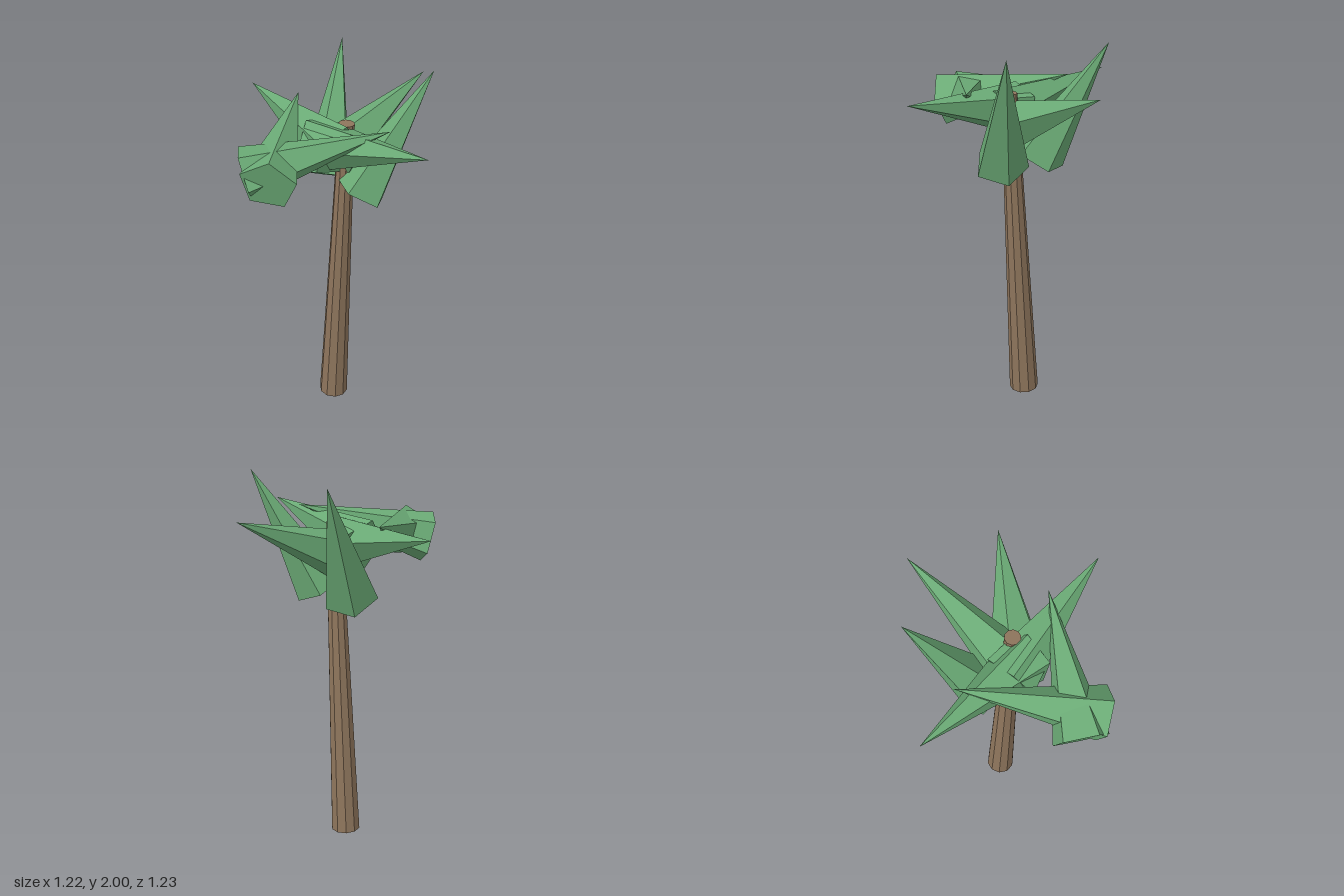
import * as THREE from 'three';

export function createModel() {
  const model = new THREE.Group();
  model.name = 'palmTree';
  const bark = new THREE.MeshStandardMaterial({ color: 0x8e755c, flatShading: true });
  bark.name = 'barkBrown';
  const leaf = new THREE.MeshStandardMaterial({ color: 0x6bab76, flatShading: true });
  leaf.name = 'leafGreen';

  // leaning, tapered trunk
  const trunk = new THREE.Mesh(new THREE.CylinderGeometry(0.04, 0.08, 1.735, 10), bark);
  trunk.name = 'trunk';
  trunk.position.set(0.002, 0.871, 0);
  trunk.rotation.x = 0.058;
  model.add(trunk);

  // seven five-sided fronds centred on a ring; each entry is the frond's pointing direction
  const height = 0.705, ring = 0.28, level = 1.69;
  const cone = new THREE.ConeGeometry(0.14, height, 5);
  const directions = [
    [0.93, 0.39, 0],
    [0.41, 0.87, 0.27],
    [0.06, 0.2, 0.96],
    [0.77, 0.25, 0.57],
  ];
  directions.forEach((dir, i) => {
    const angle = (i * Math.PI * 2) / 7;
    // pairs on both sides of the first frond
    for (const side of i === 0 ? [1] : [1, -1]) {
      const d = new THREE.Vector3(dir[0], dir[1], dir[2] * side).normalize();
      const frond = new THREE.Mesh(cone, leaf);
      frond.name = 'frond' + (i === 0 ? 'Middle' : (side > 0 ? 'Front' : 'Back') + i);
      frond.position.set(Math.cos(angle) * ring, level, Math.sin(angle) * ring * side);
      frond.rotation.set(Math.asin(d.z), 0, -Math.atan2(d.x, d.y), 'ZXY');
      model.add(frond);
    }
  });
  return model;
}
